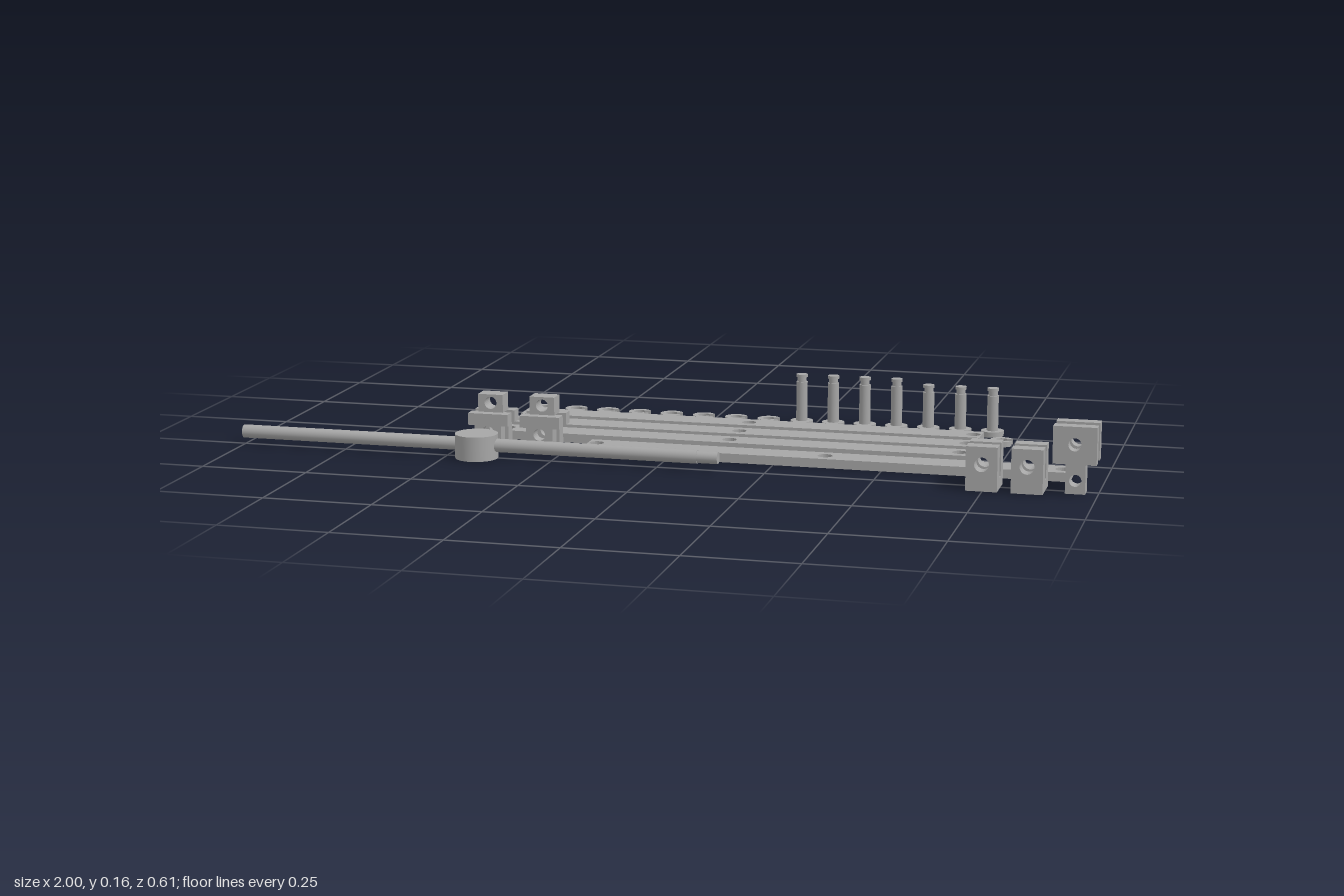
import * as THREE from 'three';

const steel = new THREE.MeshStandardMaterial({ color: 0xa6a6a6 });
steel.name = 'steel grey';

// Closed outline with round holes [x, y, r], extruded to the given depth along z
function extrude(points, holes, depth) {
  const shape = new THREE.Shape(points.map(([x, y]) => new THREE.Vector2(x, y)));
  for (const [x, y, r] of holes) {
    const path = new THREE.Path();
    path.absarc(x, y, r, 0, Math.PI * 2, true);
    shape.holes.push(path);
  }
  return new THREE.ExtrudeGeometry(shape, { depth, bevelEnabled: false, curveSegments: 12 });
}

const rect = (x0, y0, x1, y1) => [[x0, y0], [x1, y0], [x1, y1], [x0, y1]];

export function createModel() {
  const model = new THREE.Group();
  model.name = 'linkageKit';

  function add(parent, name, geometry, x = 0, y = 0, z = 0) {
    const mesh = new THREE.Mesh(geometry, steel);
    mesh.name = name;
    mesh.position.set(x, y, z);
    parent.add(mesh);
    return mesh;
  }

  function group(name, x, z) {
    const g = new THREE.Group();
    g.name = name;
    g.position.set(x, 0, z);
    model.add(g);
    return g;
  }

  // Flat link bars with three holes
  const bar = extrude(rect(-0.561, -0.0345, 0.561, 0.0345),
    [-0.541, 0, 0.541].map((x) => [x, 0, 0.017]), 0.021);
  bar.rotateX(-Math.PI / 2);
  [[0.113, -0.181], [0.113, -0.082], [0.113, 0.017], [0.364, 0.129]]
    .forEach(([x, z], i) => add(model, 'linkBar' + (i + 1), bar, x, 0, z));

  // Retaining clips: open rings with the gap towards +x
  const ring = new THREE.Shape();
  ring.absarc(0, 0, 0.0275, 0.42, Math.PI * 2 - 0.42, false);
  ring.absarc(0, 0, 0.0145, Math.PI * 2 - 0.75, 0.75, true);
  const clip = new THREE.ExtrudeGeometry(ring, { depth: 0.0125, bevelEnabled: false, curveSegments: 20 });
  clip.rotateX(-Math.PI / 2);
  for (let i = 0; i < 8; i++) add(model, 'clip' + (i + 1), clip, -0.428 + i * 0.081, 0, -0.279);
  add(model, 'clip9', clip, 0.722, 0, -0.18);

  // Headed pins with a clip groove near the tip: four long, three short
  function pin(h) {
    const g = new THREE.Group();
    const part = (name, r, y0, y1) =>
      add(g, name, new THREE.CylinderGeometry(r, r, y1 - y0, 24), 0, (y0 + y1) / 2, 0);
    part('pinHead', 0.0272, 0, 0.0125);
    part('pinShaft', 0.0136, 0.0125, h - 0.018);
    part('pinGroove', 0.0108, h - 0.018, h - 0.007);
    part('pinTip', 0.0136, h - 0.007, h);
    return g;
  }
  for (let i = 0; i < 7; i++) {
    const p = pin(i < 4 ? 0.126 : 0.115);
    p.name = 'pin' + (i + 1);
    p.position.set(0.221 + i * 0.0773, 0, -0.278);
    model.add(p);
  }

  // Handle: drum with a long rod through it
  const handle = group('handle', -0.427, 0.256);
  add(handle, 'drum', new THREE.CylinderGeometry(0.0495, 0.0495, 0.057, 40), 0, 0.0285, 0);
  const rod = (name, r, x0, x1) => {
    const g = new THREE.CylinderGeometry(r, r, x1 - x0, 24);
    g.rotateZ(Math.PI / 2);
    add(handle, name, g, (x0 + x1) / 2, 0.031, 0);
  };
  rod('rod', 0.0155, -0.573, 0.524);
  rod('rodEnd', 0.014, 0.524, 0.572);

  // Pair of parallel plates, mirrored either side of a gap
  function plates(g, geometry, depth, gap) {
    add(g, 'frontPlate', geometry, 0, 0, gap / 2);
    add(g, 'backPlate', geometry, 0, 0, -gap / 2 - depth);
  }

  // Downward forks: shouldered plates bridged by a drilled lug on top
  const tee = extrude([[-0.032, 0], [0.032, 0], [0.032, 0.057], [0.048, 0.057],
    [0.048, 0.085], [-0.048, 0.085], [-0.048, 0.057], [-0.032, 0.057]], [[0, 0.042, 0.014]], 0.03);
  const lug = extrude(rect(-0.03, 0.085, 0.03, 0.127), [[0, 0.107, 0.0145]], 0.041);
  [-0.427, -0.302].forEach((x, i) => {
    const g = group('downFork' + (i + 1), x, 0.131);
    plates(g, tee, 0.03, 0.025);
    add(g, 'lug', lug, 0, 0, -0.0205);
  });

  // Upright fork: two plates standing on a drilled leg
  const upright = group('uprightFork', 0.95, 0.257);
  plates(upright, extrude(rect(-0.048, 0.071, 0.048, 0.155), [[0, 0.115, 0.0145]], 0.028), 0.028, 0.025);
  add(upright, 'leg', extrude(rect(-0.022, 0, 0.022, 0.071), [[0, 0.03, 0.0135]], 0.035), 0, 0, -0.0175);

  // Clevises: U brackets with a low floor
  const cheek = extrude(rect(-0.035, 0, 0.035, 0.1), [[0, 0.06, 0.0165]], 0.033);
  [0.748, 0.848].forEach((x, i) => {
    const g = group('clevis' + (i + 1), x, 0.258);
    plates(g, cheek, 0.033, 0.02);
    add(g, 'floor', new THREE.BoxGeometry(0.07, 0.025, 0.02), 0, 0.0125, 0);
  });

  return model;
}
